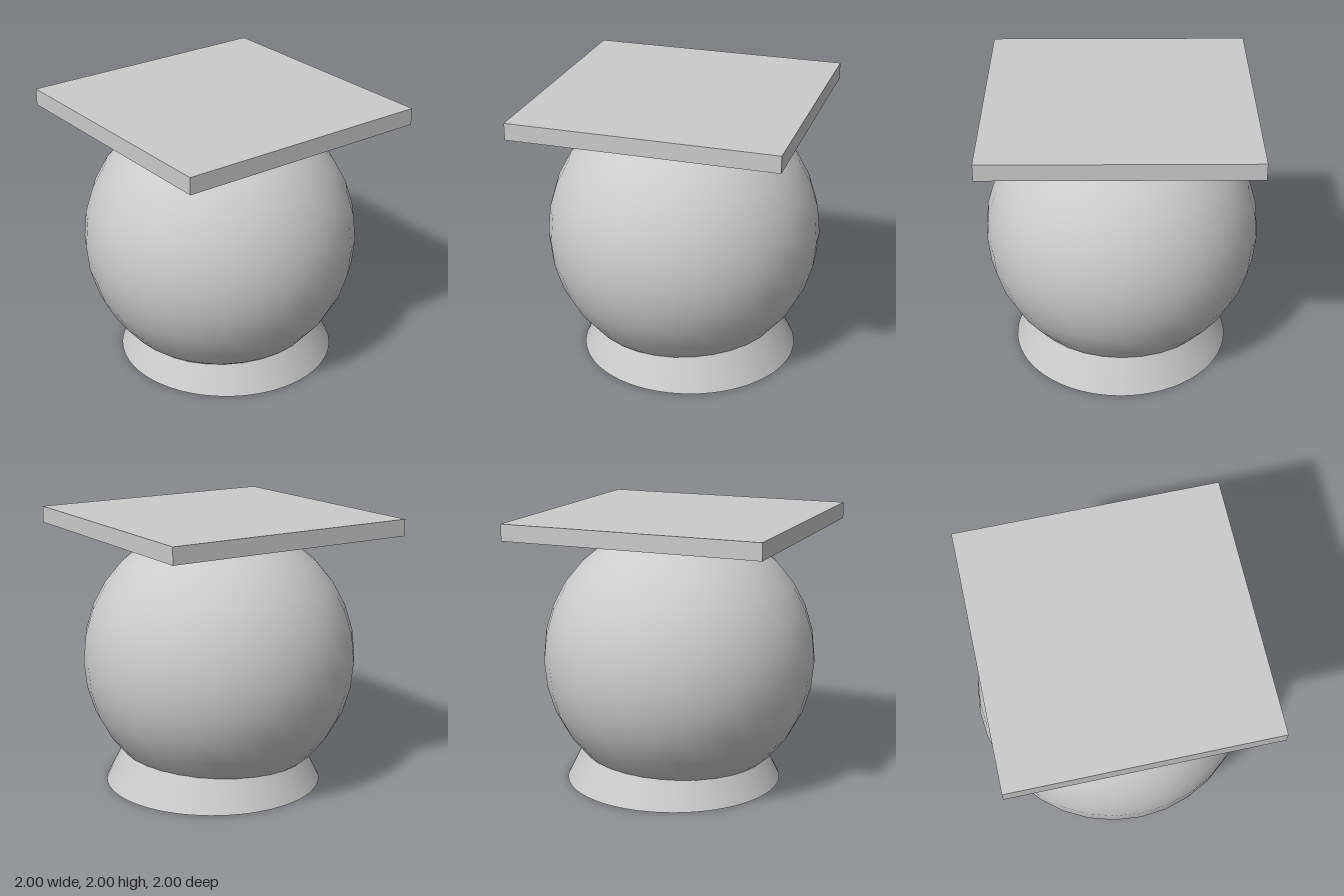
import * as THREE from 'three';
import { toCreasedNormals } from 'three/addons/utils/BufferGeometryUtils.js';

const material = new THREE.MeshStandardMaterial({ color: 0xcccccc });

function addPart(group, name, geometry, x, y, z) {
  const mesh = new THREE.Mesh(geometry, material);
  mesh.name = name;
  mesh.position.set(x, y, z);
  group.add(mesh);
}

export function createModel() {
  const model = new THREE.Group();
  model.name = 'globeWithPlate';

  // Globe: 32 x 16 sphere, opened underneath inside the wall of the base
  const globe = [new THREE.Vector2(0.63, -0.77)];
  for (let i = 4; i <= 16; i++) {
    const a = (i / 16) * Math.PI;
    globe.push(new THREE.Vector2(Math.max(0, Math.sin(a)), -Math.cos(a)));
  }
  addPart(model, 'globe', new THREE.LatheGeometry(globe, 32), 0, 0.94, 0);

  // Base: hollow tapered collar, its bore running up into the globe
  const collar = [[0, 1], [0.145, 1], [0.645, 0], [0.8, 0], [0.3, 1]]
    .map(([r, y]) => new THREE.Vector2(r, y));
  addPart(model, 'base', toCreasedNormals(new THREE.LatheGeometry(collar, 64), 0.6), 0.01, 0, -0.05);

  // Square plate resting on the top of the globe
  addPart(model, 'topPlate', new THREE.BoxGeometry(1.89, 0.12, 1.89), 0.017, 1.94, 0.007);

  return model;
}
